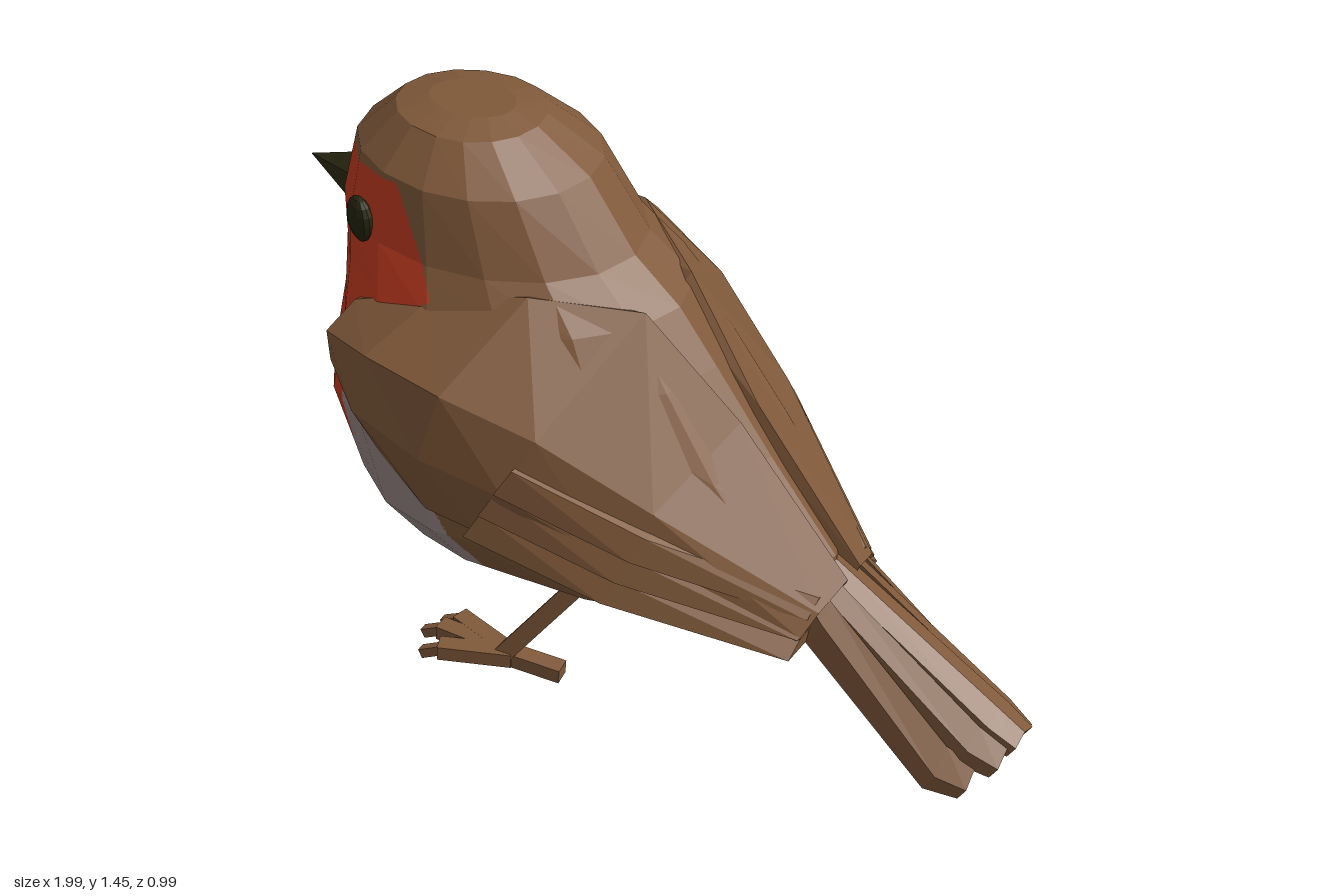
import * as THREE from 'three';

const flat = (name, color) => Object.assign(new THREE.MeshStandardMaterial({ color, flatShading: true }), { name });
const V = (x, y, z) => new THREE.Vector3(x, y, z);

// Triangles of a capped loft through closed rings, always wound outwards
function loft(rings) {
  const tris = [], n = rings[0].length;
  for (let i = 0; i < rings.length - 1; i++) {
    for (let j = 0; j < n; j++) {
      const k = (j + 1) % n, [a, b] = [rings[i], rings[i + 1]];
      tris.push([a[j], b[j], b[k]], [a[j], b[k], a[k]]);
    }
  }
  for (const [ring, flip] of [[rings[0], false], [rings.at(-1), true]]) {
    const c = ring.reduce((s, p) => s.add(p), V(0, 0, 0)).divideScalar(n);
    for (let j = 0; j < n; j++) {
      const k = (j + 1) % n;
      tris.push(flip ? [c, ring[k], ring[j]] : [c, ring[j], ring[k]]);
    }
  }
  const volume = tris.reduce((s, [a, b, c]) => s + a.dot(b.clone().cross(c)), 0);
  return volume < 0 ? tris.map(([a, b, c]) => [a, c, b]) : tris;
}

function toMesh(name, tris, material) {
  const g = new THREE.BufferGeometry().setFromPoints(tris.flat());
  g.computeVertexNormals();
  const m = new THREE.Mesh(g, material);
  m.name = name;
  return m;
}

// Outline of the red face and breast, seen from the side
const redOutline = [[-1, 1.3], [-0.82, 1.31], [-0.56, 1.34], [-0.42, 1.11], [-0.62, 1.0],
  [-0.62, 0.86], [-0.69, 0.85], [-0.68, 0.63], [-0.79, 0.52], [-1, 0.5]];
function plumage({ x, y }) {
  let inside = false;
  redOutline.forEach(([x1, y1], i) => {
    const [x2, y2] = redOutline[(i + 1) % redOutline.length];
    if ((y1 > y) !== (y2 > y) && x < x1 + (x2 - x1) * (y - y1) / (y2 - y1)) inside = !inside;
  });
  if (inside) return 'breast';
  return y < 0.87 && x < -0.07 - 0.5 * y ? 'belly' : 'body';
}

// Split a triangle along the plumage borders, keeping its facet flat
function paint(tri, depth, out) {
  const [a, b, c] = tri;
  const [ab, bc, ca] = [[a, b], [b, c], [c, a]].map(([p, q]) => p.clone().lerp(q, 0.5));
  const centre = ab.clone().add(bc).add(ca).divideScalar(3);
  const colour = plumage(centre);
  if (!depth || [a, b, c, ab, bc, ca].every(p => plumage(p) === colour)) out[colour].push(tri);
  else for (const t of [[a, ab, ca], [ab, b, bc], [ca, bc, c], [ab, bc, ca]]) paint(t, depth - 1, out);
}

export function createModel() {
  const bird = new THREE.Group();
  bird.name = 'bird';
  const brown = flat('brown', 0x80593a), red = flat('red', 0xc63c22);
  const grey = flat('grey', 0x9a8a88), dark = flat('dark', 0x25240f);

  // Head and body: height, front x, back x, x of widest point, half width
  const levels = [
    [1.46, -0.62, -0.40, -0.5, 0.08], [1.44, -0.70, -0.33, -0.5, 0.16], [1.35, -0.80, -0.19, -0.48, 0.25],
    [1.18, -0.845, -0.07, -0.45, 0.29], [1.08, -0.83, 0.05, -0.42, 0.34], [0.95, -0.83, 0.15, -0.4, 0.40],
    [0.75, -0.87, 0.30, -0.4, 0.44], [0.53, -0.79, 0.48, -0.38, 0.42], [0.42, -0.70, 0.52, -0.33, 0.36],
    [0.34, -0.63, 0.22, -0.3, 0.27], [0.28, -0.5, 0.02, -0.25, 0.18], [0.235, -0.32, -0.12, -0.2, 0.08]];
  const bodyRings = levels.map(([y, front, back, mid, w]) => Array.from({ length: 16 }, (_, i) => {
    const a = i / 16 * Math.PI * 2, c = Math.cos(a);
    return V(mid + (c > 0 ? front - mid : mid - back) * c, y, w * Math.sin(a));
  }));
  const parts = { body: [], breast: [], belly: [] };
  loft(bodyRings).forEach(t => paint(t, 5, parts));
  bird.add(toMesh('body', parts.body, brown), toMesh('redFaceAndBreast', parts.breast, red),
    toMesh('belly', parts.belly, grey));

  // Beak
  const beak = new THREE.Mesh(new THREE.ConeGeometry(1, 0.22, 8), dark);
  beak.name = 'beak';
  beak.scale.set(0.068, 1, 0.12);
  beak.rotation.z = Math.PI / 2 - 0.06;
  beak.position.set(-0.89, 1.15, 0);
  bird.add(beak);

  // Grey feathers under the tail
  const coverts = [[0.14, 0.33, 0.40, 0.03], [0.3, 0.34, 0.43, 0.11], [0.54, 0.33, 0.42, 0.10]].map(
    ([x, low, high, w]) => [V(x, high, w), V(x, low + 0.02, w), V(x, low, 0), V(x, low + 0.02, -w), V(x, high, -w)]);
  bird.add(toMesh('undertail', loft(coverts), grey));

  // Wing sections from shoulder to tip, each from the back down to the lower edge
  const wingSections = [
    [[-0.64, 1.04, 0.32], [-0.675, 0.98, 0.39], [-0.67, 0.9, 0.39], [-0.62, 0.8, 0.37]],
    [[-0.42, 1.12, 0.30], [-0.52, 1.0, 0.45], [-0.55, 0.85, 0.475], [-0.52, 0.69, 0.41]],
    [[-0.2, 1.16, 0.25], [-0.3, 0.98, 0.47], [-0.35, 0.8, 0.495], [-0.38, 0.61, 0.44]],
    [[0.02, 1.11, 0.10], [-0.08, 0.9, 0.41], [-0.14, 0.75, 0.46], [-0.24, 0.6, 0.44]],
    [[0.24, 0.85, 0.04], [0.17, 0.73, 0.31], [0.1, 0.6, 0.37], [0.04, 0.5, 0.37]],
    [[0.53, 0.5, 0.03], [0.51, 0.46, 0.13], [0.49, 0.41, 0.18], [0.46, 0.37, 0.18]]];
  // Rows of the flight feathers: upper and lower limit at root, middle and tip
  const flightRows = [
    [V(-0.12, 0.83, 0.44), V(-0.25, 0.6, 0.45)],
    [V(0.17, 0.68, 0.33), V(0.08, 0.49, 0.375)],
    [V(0.5, 0.49, 0.10), V(0.48, 0.36, 0.19)]];

  for (const s of [1, -1]) {
    const side = s > 0 ? 'left' : 'right';
    const P = ([x, y, z]) => V(x, y, z * s);

    const wing = wingSections.map(sec => {
      const [t, b] = [sec[0], sec[3]];
      return [...sec, [b[0], b[1] + 0.04, b[2] * 0.7], [t[0] - 0.02, t[1] - 0.05, t[2] * 0.6]].map(P);
    });
    bird.add(toMesh(side + 'Wing', loft(wing), brown));

    // Flight feathers, overlapping like steps
    for (let i = 0; i < 3; i++) {
      const rings = flightRows.map(([top, low]) => {
        const a = top.clone().lerp(low, i / 3), b = top.clone().lerp(low, (i + 0.9) / 3);
        return [[a.x, a.y, a.z + 0.012], [b.x, b.y, b.z + 0.03], [b.x, b.y, b.z - 0.06], [a.x, a.y, a.z - 0.06]].map(P);
      });
      bird.add(toMesh(side + 'FlightFeather', loft(rings), brown));
    }

    // Tail feathers, shorter and lower towards the outside
    [[0.995, 0.21], [0.975, 0.19], [0.92, 0.165]].forEach(([tipX, tipY], i) => {
      const drop = z => z * z * 3;
      const row = (x, y, w, t) => {
        const a = w * i / 3, b = w * (i + 0.95) / 3;
        return [[x, y - drop(a) + 0.012, a], [x, y - drop(b), b],
          [x - t * 0.6, y - drop(b) - t, b], [x - t * 0.6, y - drop(a) - t, a]].map(P);
      };
      const slope = (x) => tipY + (0.5 - tipY) * (tipX - x) / (tipX - 0.5);
      bird.add(toMesh(side + 'TailFeather', loft([row(0.42, slope(0.42), 0.11, 0.07),
        row(0.52, slope(0.52), 0.135, 0.07), row(tipX - 0.07, slope(tipX - 0.07), 0.168, 0.05),
        row(tipX, tipY, 0.14, 0.035)]), brown));
    });

    // Eye
    const eye = new THREE.Mesh(new THREE.SphereGeometry(1, 12, 8), dark);
    eye.name = side + 'Eye';
    eye.scale.set(0.05, 0.058, 0.025);
    eye.position.set(-0.675, 1.205, 0.236 * s);
    eye.rotation.y = s > 0 ? -0.45 : Math.PI + 0.45;
    bird.add(eye);

    // Leg and toes: bars with dark inner and rear or under faces
    const bar = (name, from, to, thick, wide) => {
      const a = P(from), b = P(to), X = b.clone().sub(a), length = X.length();
      X.normalize();
      const Z = V(0, 0, 1).addScaledVector(X, -X.z).normalize(), Y = Z.clone().cross(X);
      const skin = [brown, brown, dark, brown, s > 0 ? brown : dark, s > 0 ? dark : brown];
      const m = new THREE.Mesh(new THREE.BoxGeometry(length, thick, wide), skin);
      m.name = side + name;
      m.applyMatrix4(new THREE.Matrix4().makeBasis(X, Y, Z).setPosition(a.add(b).divideScalar(2)));
      bird.add(m);
    };
    bar('Leg', [-0.12, 0.31, 0.165], [-0.31, 0.05, 0.24], 0.045, 0.045);
    bar('HindToe', [-0.16, 0.03, 0.21], [-0.33, 0.045, 0.24], 0.04, 0.045);
    for (const [x, z] of [[-0.48, 0.195], [-0.5, 0.25], [-0.46, 0.315]]) {
      bar('Toe', [-0.29, 0.045, 0.24], [x, 0.05, z], 0.04, 0.045);
      bar('Claw', [x + 0.01, 0.052, z], [x - 0.045, 0.025, z * 1.03], 0.025, 0.025);
    }
  }
  return bird;
}
